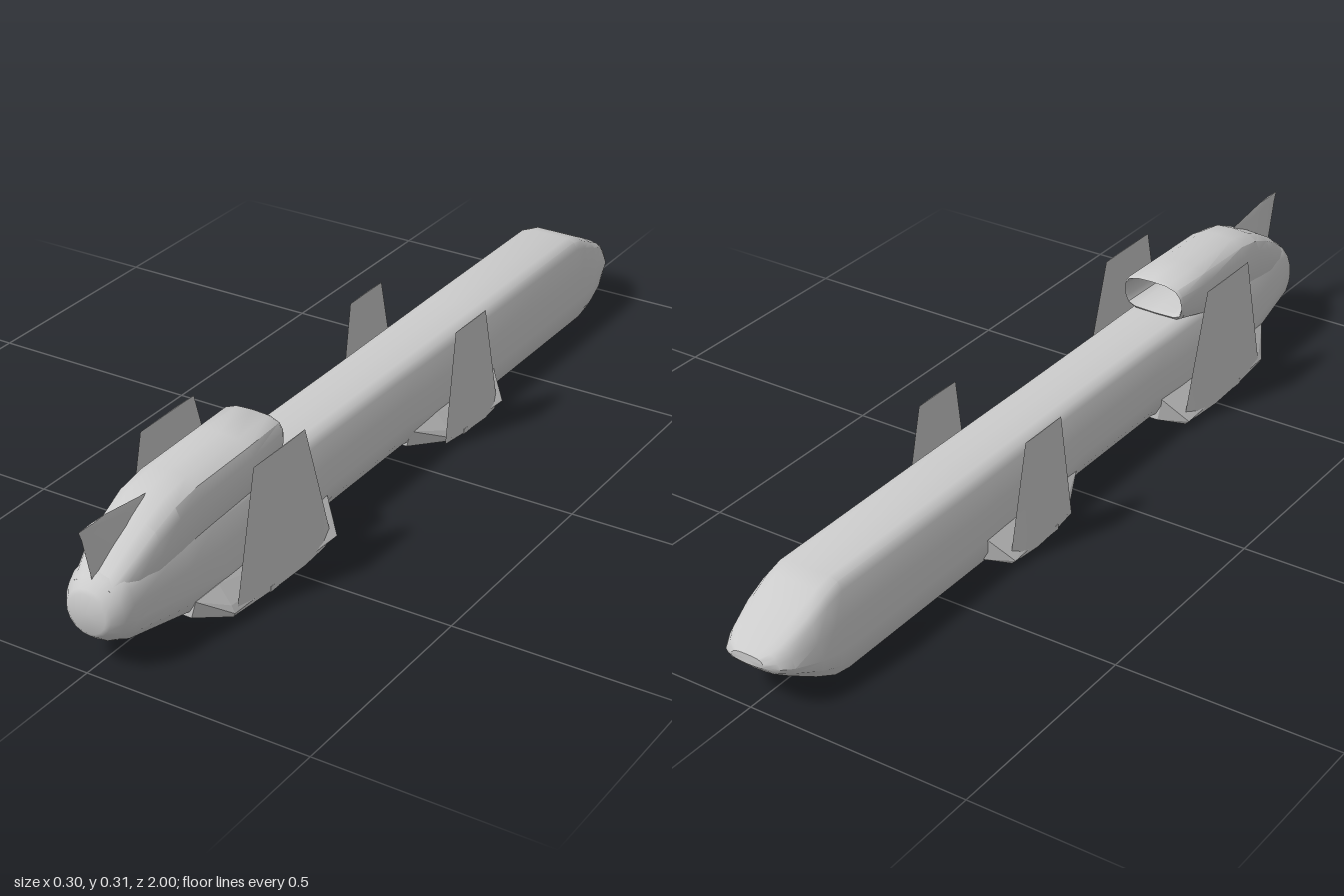
import * as THREE from 'three';
import { toCreasedNormals } from 'three/addons/utils/BufferGeometryUtils.js';
import { ConvexGeometry } from 'three/addons/geometries/ConvexGeometry.js';

const material = new THREE.MeshStandardMaterial({ color: 0xcccccc });

function part(group, name, geometry) {
  const mesh = new THREE.Mesh(geometry, material);
  mesh.name = name;
  group.add(mesh);
}

// Skins closed rings of [x, y, z] points, caps both ends and turns the faces outward.
function loft(rings, crease = 0.6) {
  const n = rings[0].length;
  const pos = rings.flat();
  const tris = [];
  for (let r = 0; r < rings.length - 1; r++) {
    for (let i = 0; i < n; i++) {
      const a = r * n + i, b = r * n + (i + 1) % n;
      tris.push([a, b, b + n], [a, b + n, a + n]);
    }
  }
  [0, rings.length - 1].forEach((r) => {
    const centre = [0, 1, 2].map((k) => rings[r].reduce((s, p) => s + p[k], 0) / n);
    const c = pos.push(centre) - 1;
    for (let i = 0; i < n; i++) {
      const a = r * n + i, b = r * n + (i + 1) % n;
      tris.push(r ? [a, b, c] : [b, a, c]);
    }
  });
  const v = pos.map((p) => new THREE.Vector3(...p));
  const volume = tris.reduce((s, [a, b, c]) => s + v[a].dot(v[b].clone().cross(v[c])), 0);
  if (volume < 0) tris.forEach((t) => t.reverse());
  const g = new THREE.BufferGeometry();
  g.setAttribute('position', new THREE.Float32BufferAttribute(pos.flat(), 3));
  g.setIndex(tris.flat());
  return toCreasedNormals(g, crease);
}

// Half of the fuselage cross-section, from top centre to bottom centre, in unit size.
const HULL = [[0, 1], [0.48, 1], [0.66, 0.965], [0.77, 0.89], [0.88, 0.62],
  [1, 0.36], [0.98, 0.2], [0.85, 0.07], [0.5, 0.025], [0, 0]];
// Half of the duct cross-section: a box with well rounded top corners.
const DUCT = [[0, 1], [0.5, 0.98], [0.82, 0.88], [0.96, 0.72], [1, 0.5],
  [1, 0.3], [0.92, 0.12], [0.7, 0.02], [0, 0]];

// Scales a half section to a full ring; round blends it toward an ellipse.
function ring(half, z, w, bottom, top, round = 0, rake = 0) {
  const last = half.length - 1;
  const right = half.map(([x, y], i) => {
    const a = (i / last) * Math.PI;
    const u = THREE.MathUtils.lerp(x, Math.sin(a), round);
    const t = THREE.MathUtils.lerp(y, 0.5 + 0.5 * Math.cos(a), round);
    return [u * w, bottom + t * (top - bottom), z + rake * (1 - t)];
  });
  const left = right.slice(1, last).reverse().map(([x, y, z2]) => [-x, y, z2]);
  return [...right, ...left];
}

export function createModel() {
  const model = new THREE.Group();
  model.name = 'glideVehicle';

  // Fuselage: z, half width, bottom, top, roundness
  const stations = [
    [-1, 0.04, 0.1, 0.122, 0.5], [-0.985, 0.066, 0.083, 0.133, 0.4],
    [-0.96, 0.083, 0.068, 0.147, 0.3], [-0.9, 0.1, 0.032, 0.178, 0.15],
    [-0.85, 0.104, 0.006, 0.202, 0.05], [-0.81, 0.105, 0, 0.212],
    [-0.36, 0.105, 0, 0.212], [-0.3, 0.104, 0.008, 0.212],
    [-0.1, 0.102, 0.016, 0.212], [0, 0.1, 0.03, 0.212],
    [0.3, 0.1, 0.03, 0.212], [0.4, 0.102, 0.014, 0.212],
    [0.68, 0.102, 0.014, 0.212], [0.78, 0.098, 0.03, 0.212, 0.1],
    [0.94, 0.079, 0.048, 0.204, 0.6], [0.965, 0.069, 0.057, 0.194, 0.85],
    [0.985, 0.052, 0.074, 0.176, 1], [0.99, 0.043, 0.082, 0.168, 1],
  ];
  part(model, 'fuselage', loft(stations.map((s) => ring(HULL, ...s))));

  // Hollow duct on top, from the inside of its mouth out over the lip and down to the tail
  part(model, 'intakeDuct', loft([
    ring(DUCT, 0.6, 0.06, 0.228, 0.285),
    ring(DUCT, 0.44, 0.069, 0.222, 0.297, 0, 0.015),
    ring(DUCT, 0.43, 0.074, 0.217, 0.301, 0, 0.015),
    ring(DUCT, 0.437, 0.078, 0.21, 0.305, 0, 0.015),
    ring(DUCT, 0.55, 0.08, 0.18, 0.305),
    ring(DUCT, 0.72, 0.08, 0.16, 0.304),
    ring(DUCT, 0.79, 0.079, 0.15, 0.292),
    ring(DUCT, 0.85, 0.074, 0.14, 0.265),
    ring(DUCT, 0.91, 0.066, 0.13, 0.23),
    ring(DUCT, 0.97, 0.05, 0.12, 0.185),
  ]));

  // Upright tail fin with a diamond section
  part(model, 'tailFin', loft([[0.17, 0.7, 0.965, 0.008], [0.285, 0.76, 0.992, 0.005],
    [0.306, 0.92, 1, 0.002]].map(([y, z0, z1, t]) =>
    [[0, y, z0], [t, y, (z0 + z1) / 2], [0, y, z1], [-t, y, (z0 + z1) / 2]])));

  // Two pairs of folded wings, each with a low strake joining it to the fuselage
  const pairs = [
    { name: 'front', base: [0.36, 0.7], tip: [0.45, 0.63], top: 0.305,
      strake: [0.32, 0.36, 0.71, 0.78] },
    { name: 'rear', base: [-0.33, -0.1], tip: [-0.27, -0.14], top: 0.267,
      strake: [-0.37, -0.33, -0.12, -0.02] },
  ];
  for (const { name, base, tip, top, strake } of pairs) {
    const [s0, s1, s2, s3] = strake;
    const points = [];
    for (const s of [-1, 1]) {
      const corners = [[0.09, 0.025, s0], [0.1, 0.08, s0], [0.14, 0.011, s1], [0.149, 0.02, s1],
        [0.136, 0.036, s1], [0.134, 0.011, s2], [0.138, 0.02, s2], [0.13, 0.036, s2],
        [0.085, 0.03, s3], [0.096, 0.07, s3], [0.101, 0.075, s2]];
      corners.forEach(([x, y, z]) => points.push(new THREE.Vector3(s * x, y, z)));

      // Wing panel: flat inside, curved outside, thinning toward the tip
      const levels = [0, 0.15, 0.4, 0.7, 1];
      const rings = levels.map((k) => {
        const z0 = THREE.MathUtils.lerp(base[0], tip[0], k);
        const z1 = THREE.MathUtils.lerp(base[1], tip[1], k);
        const y = THREE.MathUtils.lerp(0.012, top, k);
        const t = THREE.MathUtils.lerp(0.016, 0.002, k);
        const outer = [[0, 0.1], [0.12, 0.7], [0.35, 1], [0.65, 0.75], [1, 0.1]];
        const profile = [...outer, [0.7, 0], [0.3, 0]];
        return profile.map(([u, d]) => [s * (0.1335 + d * t), y, z0 + u * (z1 - z0)]);
      });
      part(model, `${name}${s > 0 ? 'Left' : 'Right'}Wing`, loft(rings));

      // Small hinge blocks under the wing root
      for (const u of [0.35, 0.65]) {
        const hinge = new THREE.BoxGeometry(0.018, 0.012, 0.03);
        hinge.translate(s * 0.136, 0.016, THREE.MathUtils.lerp(base[0], base[1], u));
        part(model, `${name}WingHinge`, hinge);
      }
    }
    part(model, `${name}Strake`, new ConvexGeometry(points));
  }
  return model;
}
